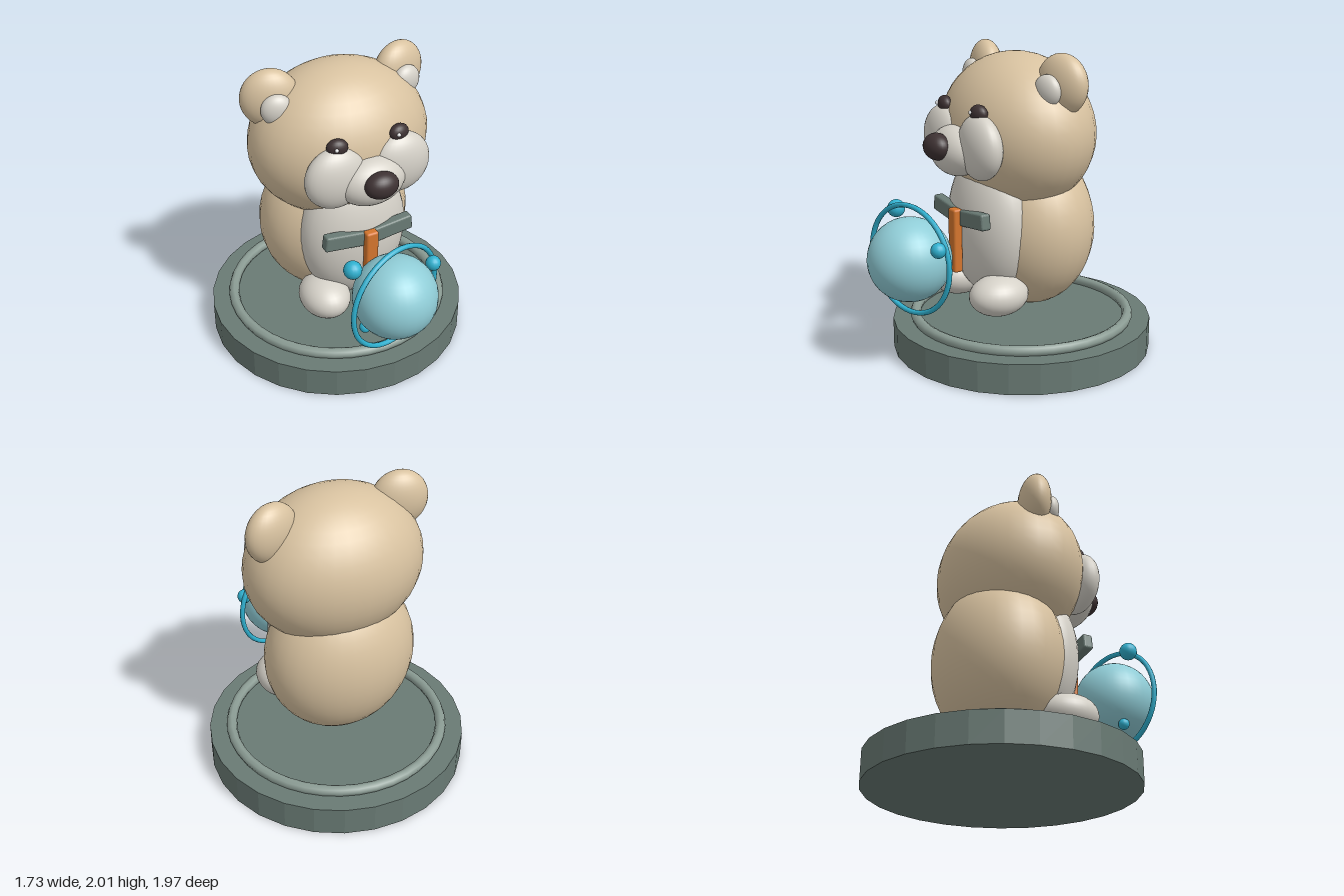
import * as THREE from 'three';
import { RoundedBoxGeometry } from 'three/addons/geometries/RoundedBoxGeometry.js';

function material(name, color, flatShading = false) {
  const m = new THREE.MeshStandardMaterial({ color, flatShading });
  m.name = name;
  return m;
}

export function createModel() {
  const root = new THREE.Group();
  root.name = 'bearOnPedestal';

  const fur = material('tanFur', 0xd8c2a0);
  const cream = material('paleFur', 0xd5d1c8);
  const dark = material('darkBrown', 0x3e3233);
  const slate = material('slateGrey', 0x697a74, true);
  const rimGrey = material('paleSlate', 0x8b9c94);
  const orange = material('orange', 0xd4752d);
  const paleBlue = material('paleBlue', 0x90cdd7);
  const blue = material('brightBlue', 0x2fb1d0);
  const white = material('white', 0xeeeeee);

  function add(name, geometry, mat, [x, y, z], parent = root) {
    const mesh = new THREE.Mesh(geometry, mat);
    mesh.name = name;
    mesh.position.set(x, y, z);
    parent.add(mesh);
    return mesh;
  }

  // Ellipsoid from centre and three radii
  function blob(name, mat, centre, radii, parent = root, detail = 28) {
    const geometry = new THREE.SphereGeometry(1, detail, Math.round(detail * 0.7));
    geometry.scale(...radii);
    return add(name, geometry, mat, centre, parent);
  }

  // Pedestal
  add('pedestal', new THREE.CylinderGeometry(0.865, 0.865, 0.2, 28), slate, [0, 0.1, -0.12]);
  const rim = add('pedestalRim', new THREE.TorusGeometry(0.715, 0.035, 8, 40), rimGrey, [0, 0.225, -0.12]);
  rim.rotation.x = Math.PI / 2;

  // Body and head
  const bear = new THREE.Group();
  bear.name = 'bear';
  root.add(bear);
  blob('body', fur, [0, 0.84, -0.16], [0.51, 0.55, 0.41], bear, 32);
  blob('belly', cream, [0, 0.88, 0.12], [0.365, 0.49, 0.245], bear, 32);
  blob('head', fur, [0, 1.47, -0.08], [0.595, 0.505, 0.46], bear, 32);
  blob('muzzle', cream, [0, 1.385, 0.37], [0.225, 0.16, 0.15], bear);
  blob('nose', dark, [0, 1.425, 0.51], [0.11, 0.085, 0.08], bear);

  // Paired parts
  for (const [side, s] of [['left', 1], ['right', -1]]) {
    const ear = blob(side + 'Ear', fur, [s * 0.44, 1.815, -0.12], [0.185, 0.19, 0.105], bear);
    ear.rotation.y = s * 0.25;
    const innerEar = blob(side + 'InnerEar', cream, [s * 0.44, 1.785, -0.01], [0.1, 0.1, 0.06], bear);
    innerEar.rotation.y = s * 0.2;
    blob(side + 'Cheek', cream, [s * 0.215, 1.435, 0.33], [0.205, 0.205, 0.11], bear);
    const eye = blob(side + 'Eye', dark, [s * 0.207, 1.645, 0.332], [0.067, 0.055, 0.045], bear, 20);
    eye.rotation.y = s * 0.2;
    blob(side + 'EyeGlint', white, [s * 0.207 - 0.024, 1.652, 0.377], [0.013, 0.013, 0.012], bear, 10);
    blob(side + 'Foot', cream, [s * 0.247, 0.47, 0.216], [0.164, 0.132, 0.2], bear);

    // Scarf wing, outer end raised
    const wing = add(side + 'ScarfWing', new RoundedBoxGeometry(0.3, 0.105, 0.07, 2, 0.015), slate,
      [s * 0.155, 0.965, 0.342], bear);
    wing.rotation.z = s * 0.12;
  }

  // Hanging tie
  add('tie', new RoundedBoxGeometry(0.085, 0.42, 0.062, 2, 0.015), orange, [0, 0.8, 0.387], bear);

  // Globe with its ring and moons
  const globe = new THREE.Group();
  globe.name = 'globe';
  globe.position.set(0, 0.73, 0.717);
  root.add(globe);
  blob('planet', paleBlue, [0, 0, 0], [0.268, 0.268, 0.268], globe, 32);
  const orbit = add('orbitRing', new THREE.TorusGeometry(0.348, 0.017, 8, 48), blue, [0, 0, 0], globe);
  orbit.rotation.y = 0.275;
  const moons = [[-0.27, 0.26, -0.05, 0.058], [0.29, 0.127, -0.045, 0.049], [-0.18, -0.22, -0.05, 0.037]];
  moons.forEach(([x, y, z, r], i) => blob('moon' + (i + 1), blue, [x, y, z], [r, r, r], globe, 16));

  return root;
}
